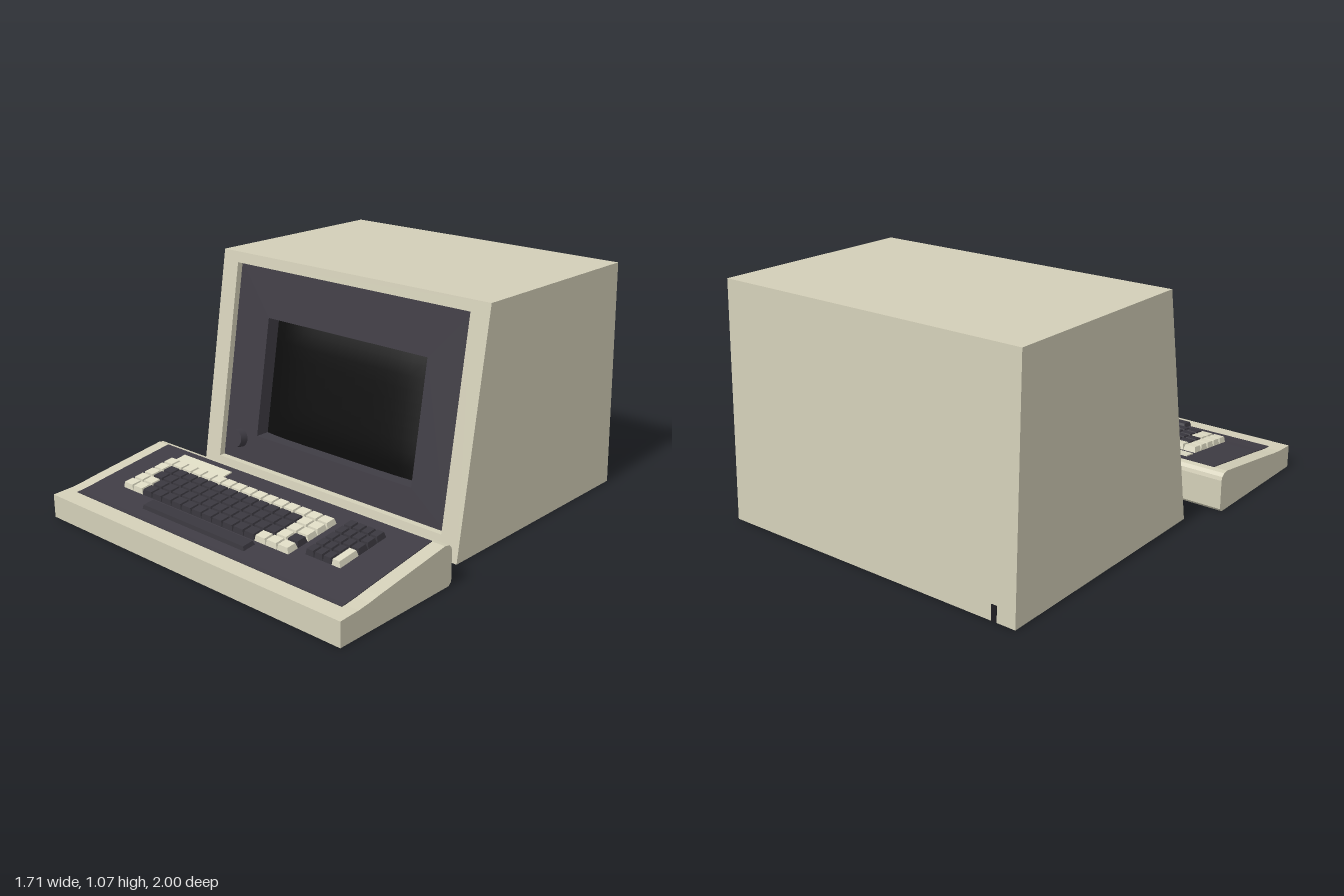
import * as THREE from 'three';

const paint = (color, side = THREE.FrontSide) => new THREE.MeshStandardMaterial({ color, side, roughness: 0.8 });
const beige = paint(0xd3cfb8);
const keyBeige = paint(0xdedbc4);
const dark = paint(0x3f3c44);
const keyDark = paint(0x39373e);
const black = paint(0x0d0d0d);
const trim = paint(0x1f1e23, THREE.DoubleSide);

function add(parent, name, geometry, material, x = 0, y = 0, z = 0) {
  const mesh = new THREE.Mesh(geometry, material);
  mesh.name = name;
  mesh.position.set(x, y, z);
  parent.add(mesh);
  return mesh;
}

const polygon = (pts) => new THREE.Shape(pts.map(([x, y]) => new THREE.Vector2(x, y)));
const rect = (w, y0, y1) => [[-w, y0], [w, y0], [w, y1], [-w, y1]];

// Side profile of [z, y] points, extruded across x
function prism(pts, width) {
  const g = new THREE.ExtrudeGeometry(polygon(pts), { depth: width, bevelEnabled: false });
  g.translate(0, 0, -width / 2);
  g.rotateY(-Math.PI / 2);
  return g;
}

// Lean a front-facing geometry back along the sloping front of the cabinet
const frontZ = (y) => 0.19 - 0.168 * y;
function lean(g, inset) {
  const p = g.attributes.position;
  for (let i = 0; i < p.count; i++) p.setZ(i, p.getZ(i) + frontZ(p.getY(i)) - inset);
  g.computeVertexNormals();
  return g;
}

// Upright plate with a rectangular opening, its face set back by inset
function framePlate(outer, hole, depth, inset) {
  const shape = polygon(outer);
  shape.holes.push(polygon(hole));
  const g = new THREE.ExtrudeGeometry(shape, { depth, bevelEnabled: false });
  return lean(g, inset + depth);
}

// Key cap: a box with its top narrowed, standing on its base
function keyCap(w, h, d, inset = 0.005) {
  const g = new THREE.BoxGeometry(w, h, d).toNonIndexed();
  g.translate(0, h / 2, 0);
  const p = g.attributes.position;
  for (let i = 0; i < p.count; i++) {
    if (p.getY(i) < h / 2) continue;
    p.setX(i, p.getX(i) - Math.sign(p.getX(i)) * inset);
    p.setZ(i, p.getZ(i) - Math.sign(p.getZ(i)) * inset);
  }
  g.computeVertexNormals();
  return g;
}

function buildMonitor() {
  const g = new THREE.Group();
  g.name = 'monitor';
  const wall = 0.12;

  add(g, 'cabinet', prism([[-1, 0], [frontZ(0) - wall, 0], [frontZ(1.07) - wall, 1.07], [-0.96, 1.07]], 1.53), beige);
  add(g, 'frontFrame', framePlate(rect(0.765, 0, 1.07), rect(0.67, 0.1, 1.02), wall, 0), beige);
  add(g, 'bezel', framePlate(rect(0.67, 0.1, 1.02), rect(0.465, 0.235, 0.79), 0.08, 0.03), dark);

  // Bulged screen: a plate whose middle stands forward of its rim
  const glass = new THREE.PlaneGeometry(0.93, 0.555, 16, 10);
  const p = glass.attributes.position;
  for (let i = 0; i < p.count; i++) {
    const u = p.getX(i) / 0.465, v = p.getY(i) / 0.2775;
    p.setZ(i, 0.03 * (1 - u ** 6) * (1 - 0.6 * v ** 6));
  }
  glass.translate(0, 0.5125, 0);
  add(g, 'screen', lean(glass, 0.1), black);

  // Round control at the lower corner of the bezel
  const knob = add(g, 'knob', new THREE.CylinderGeometry(0.042, 0.045, 0.05, 24), dark, -0.57, 0.205, 0.14);
  knob.rotation.x = Math.PI / 2 - 0.167;

  // Dark base trim underneath, and the small slot at the back
  const base = new THREE.ShapeGeometry(polygon([
    [0.67, 0.165], [-0.67, 0.165], [-0.67, -0.99], [-0.62, -0.99], [-0.49, 0.13], [0.67, 0.13]]));
  base.rotateX(Math.PI / 2);
  add(g, 'baseTrim', base, trim, 0, -0.001, 0);
  add(g, 'backSlot', new THREE.BoxGeometry(0.025, 0.07, 0.02), trim, -0.665, 0.035, -0.991);
  return g;
}

function buildKeyboard() {
  const g = new THREE.Group();
  g.name = 'keyboard';

  // Wedge-shaped housing with a rounded back edge
  const top = [[1, 0.108], [0.9, 0.112], [0.84, 0.119], [0.786, 0.128], [0.42, 0.18]];
  add(g, 'keyboardHousing', prism([
    [0.36, 0], [1, 0], ...top, [0.39, 0.184], [0.365, 0.18], [0.35, 0.167], [0.345, 0.15], [0.345, 0.015]], 1.71), beige);

  // Dark inlay lying on the sloping top
  const lift = 0.003;
  const inlay = [[0.92, 0.111], [0.9, 0.112], [0.84, 0.119], [0.786, 0.128], [0.42, 0.18], [0.39, 0.184]];
  add(g, 'keyboardInlay', prism([
    ...inlay.map(([z, y]) => [z, y + lift]),
    ...inlay.slice().reverse().map(([z, y]) => [z, y - 0.01])], 1.58), dark);

  // Height of the key bases at a given z
  const slope = 0.124;
  const keyY = (z) => 0.139 + (0.786 - z) * slope;
  const place = (name, w, h, d, mat, x, z, drop = 0) => {
    const key = add(g, name, keyCap(w, h, d), mat, x, keyY(z) - drop, z);
    key.rotation.x = Math.atan(slope);
  };

  // Main key field: number of beige keys at the left, then columns that are beige at the right
  const rows = [
    [16, []], [1, [14, 15]], [1, [14, 15]], [2, [14]], [2, [13, 14, 15]],
  ];
  const pitch = 0.0635, rowPitch = 0.057;
  rows.forEach(([left, right], r) => {
    for (let c = 0; c < 16; c++) {
      const light = c < left || right.includes(c);
      place('key', pitch - 0.002, 0.026, rowPitch - 0.002, light ? keyBeige : keyDark,
        -0.63 + (c + 0.5) * pitch, 0.5 + (r + 0.5) * rowPitch);
    }
  });
  place('spaceBar', 0.62, 0.018, 0.063, keyDark, -0.08, 0.845, -0.009);

  // Number pad, with one tall beige key at its lower corner
  for (let r = 0; r < 5; r++) {
    for (let c = 0; c < 4; c++) {
      if (c === 3 && r > 2) continue;
      place('padKey', 0.0445, 0.026, 0.053, keyDark, 0.463 + c * 0.046, 0.4975 + r * 0.055);
    }
  }
  place('enterKey', 0.0445, 0.026, 0.108, keyBeige, 0.601, 0.69);

  // Light strip above the keys
  const strip = add(g, 'lightStrip', new THREE.BoxGeometry(0.315, 0.012, 0.055), keyBeige, -0.4725, 0.178, 0.453);
  strip.rotation.x = 0.14;
  return g;
}

export function createModel() {
  const model = new THREE.Group();
  model.name = 'computerTerminal';
  model.add(buildMonitor(), buildKeyboard());
  return model;
}
